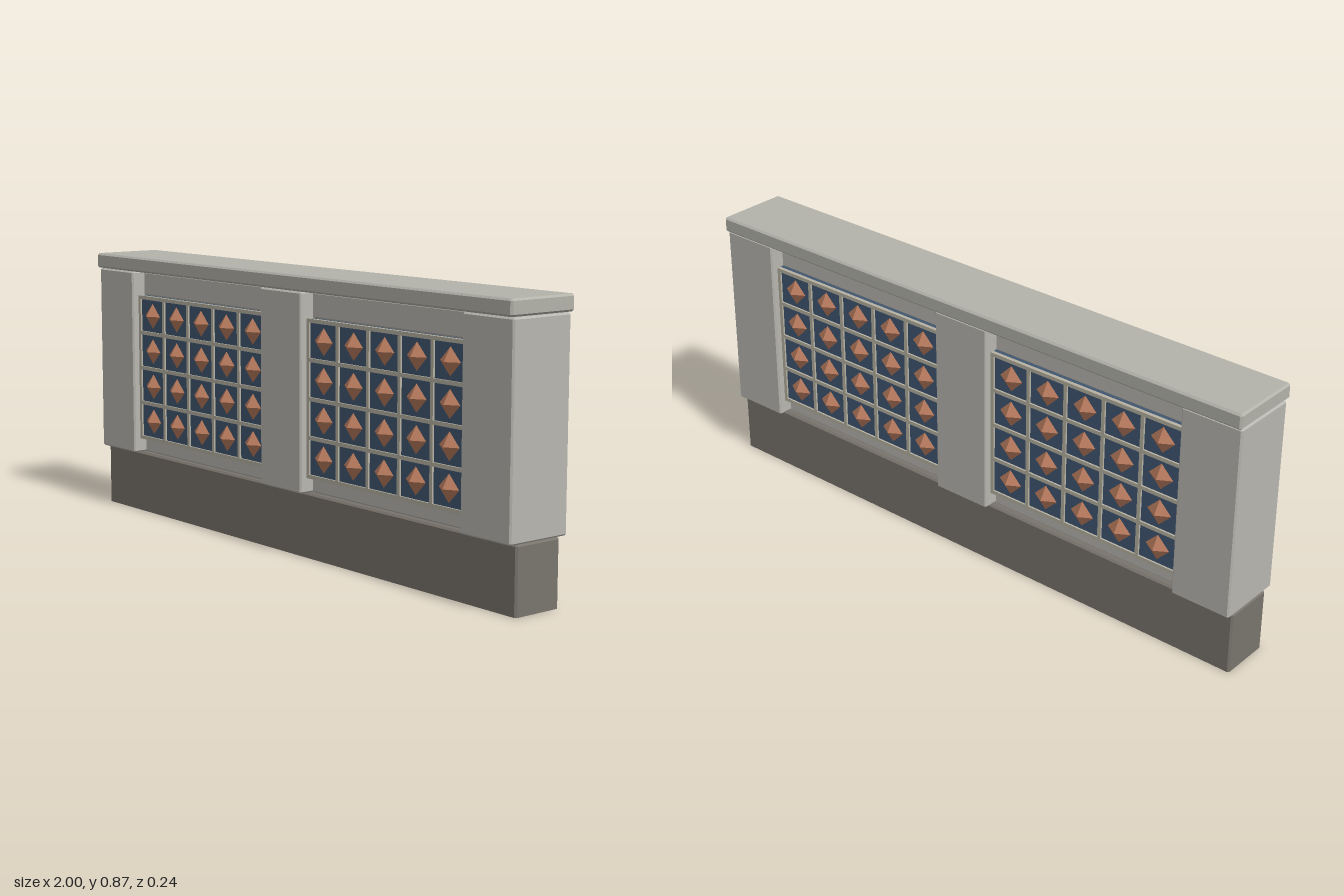
import * as THREE from 'three';
import { ConvexGeometry } from 'three/addons/geometries/ConvexGeometry.js';

const mat = (color) => new THREE.MeshStandardMaterial({ color });
const stone = mat(0xb9b7b1), capStone = mat(0xb4b3aa), plinthStone = mat(0x79756d);
const tile = mat(0x3f5772), stud = mat(0xb97c5f), trim = mat(0xb7b2a3);
plinthStone.side = THREE.DoubleSide;

// Box with chamfered edges, given by its lower and upper corners
function chamferBox([x0, y0, z0], [x1, y1, z1], c) {
  const half = [(x1 - x0) / 2, (y1 - y0) / 2, (z1 - z0) / 2];
  const points = [];
  for (const sx of [-1, 1]) for (const sy of [-1, 1]) for (const sz of [-1, 1])
    for (let axis = 0; axis < 3; axis++) {
      const h = half.map((v, i) => (i === axis ? v : v - c));
      points.push(new THREE.Vector3(sx * h[0], sy * h[1], sz * h[2]));
    }
  return new ConvexGeometry(points)
    .translate((x0 + x1) / 2, (y0 + y1) / 2, (z0 + z1) / 2);
}

// Remove everything below y = 0, leaving the underside open
function openBottom(geometry) {
  const p = geometry.attributes.position, kept = [];
  for (let i = 0; i < p.count; i += 3) {
    if (Math.max(p.getY(i), p.getY(i + 1), p.getY(i + 2)) < 0.001) continue;
    for (let k = i; k < i + 3; k++) kept.push(p.getX(k), Math.max(0, p.getY(k)), p.getZ(k));
  }
  const out = new THREE.BufferGeometry();
  out.setAttribute('position', new THREE.Float32BufferAttribute(kept, 3));
  out.computeVertexNormals();
  return out;
}

function add(parent, name, geometry, material, x = 0, y = 0, z = 0) {
  const mesh = new THREE.Mesh(geometry, material);
  mesh.name = name;
  mesh.position.set(x, y, z);
  parent.add(mesh);
  return mesh;
}

// Infill bay between two piers, centred on its own x = 0
function makeBay() {
  const bay = new THREE.Group();
  bay.name = 'bay';
  const w = 0.7, y0 = 0.25, y1 = 0.735, cols = 5, rows = 4;
  const h = y1 - y0, dx = (w - 0.012) / cols, dy = (h - 0.01) / rows;
  const midY = (y0 + y1) / 2, face = 0.08;

  add(bay, 'topRail', chamferBox([-w / 2, y1, -0.065], [w / 2, 0.814, 0.065], 0.005), stone);
  add(bay, 'bottomRail', chamferBox([-w / 2, 0.202, -0.065], [w / 2, y0, 0.065], 0.005), stone);
  add(bay, 'tilePanel', new THREE.BoxGeometry(w, h, face * 2), tile, 0, midY, 0);

  const upright = new THREE.BoxGeometry(0.012, h, 0.012);
  const crossbar = new THREE.BoxGeometry(w, 0.012, 0.012);
  // Four-sided pyramid pointing along +z
  const pyramid = new THREE.ConeGeometry(0.042, 0.025, 4).toNonIndexed();
  pyramid.rotateX(Math.PI / 2).translate(0, 0, 0.0125);
  pyramid.computeVertexNormals();

  // Lattice and studs on both faces
  for (const turn of [0, Math.PI]) {
    const side = new THREE.Group();
    side.name = turn ? 'backLattice' : 'frontLattice';
    side.rotation.y = turn;
    bay.add(side);
    for (let i = 0; i <= cols; i++)
      add(side, 'latticeUpright', upright, trim, (i - cols / 2) * dx, midY, face);
    for (let j = 0; j <= rows; j++)
      add(side, 'latticeCrossbar', crossbar, trim, 0, midY + (j - rows / 2) * dy, face);
    for (let i = 0; i < cols; i++) for (let j = 0; j < rows; j++)
      add(side, 'stud', pyramid, stud,
        (i - (cols - 1) / 2) * dx, midY + (j - (rows - 1) / 2) * dy, face);
  }
  return bay;
}

export function createModel() {
  const wall = new THREE.Group();
  wall.name = 'panelledWall';

  // Plinth, hollow below
  add(wall, 'plinth',
    openBottom(chamferBox([-0.997, -0.006, -0.083], [0.997, 0.202, 0.083], 0.006)), plinthStone);

  // Piers
  for (const [a, b] of [[-0.998, -0.8], [-0.1, 0.1], [0.8, 0.998]])
    add(wall, 'pier', chamferBox([a, 0.202, -0.109], [b, 0.816, 0.109], 0.005), stone);

  // Coping
  add(wall, 'coping', chamferBox([-1, 0.818, -0.12], [1, 0.867, 0.12], 0.006), capStone);

  // Two infill bays
  for (const x of [-0.45, 0.45]) {
    const bay = makeBay();
    bay.position.x = x;
    wall.add(bay);
  }
  return wall;
}
